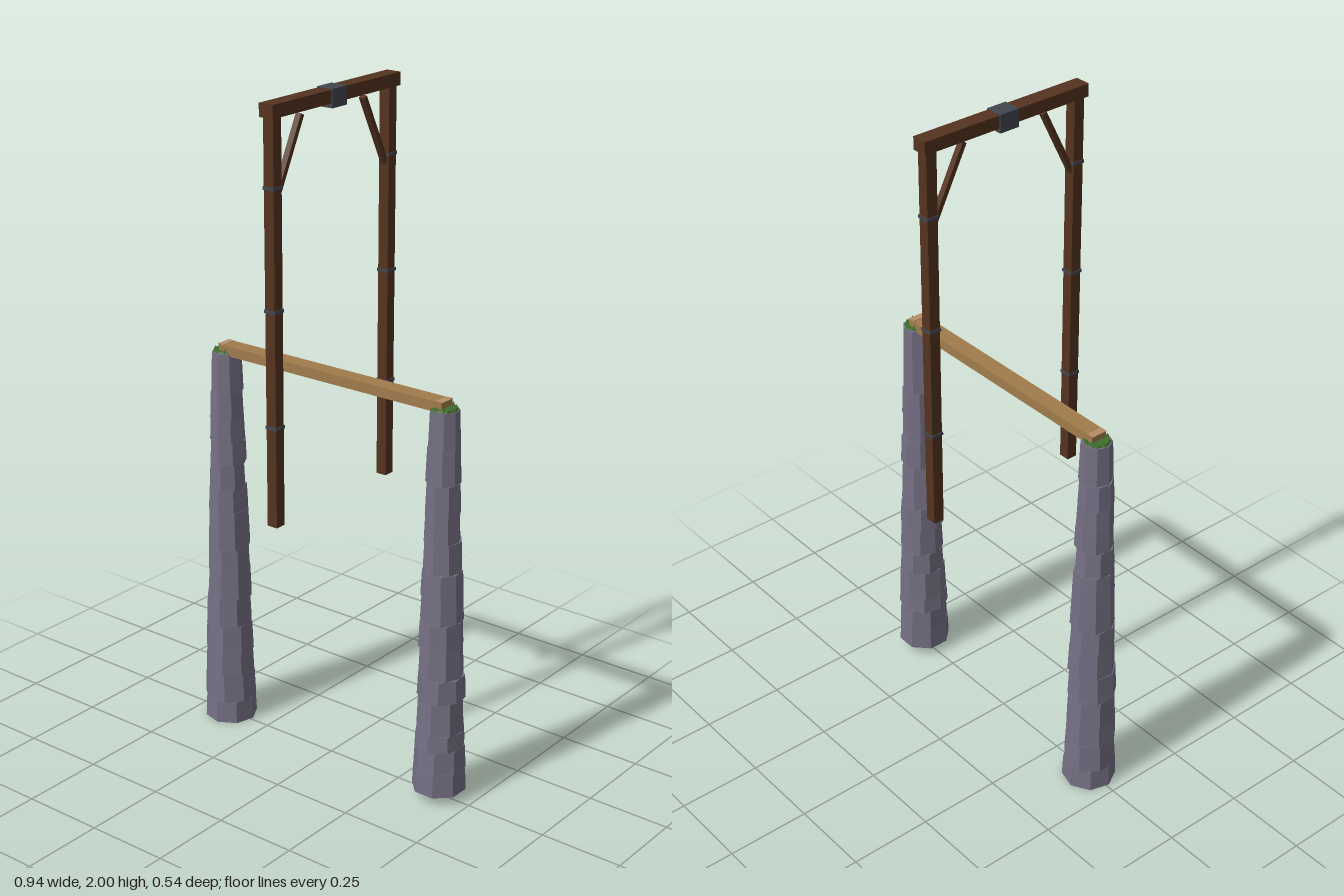
import * as THREE from 'three';

const mat = (name, color, flatShading = false) => {
  const m = new THREE.MeshStandardMaterial({ color, flatShading });
  m.name = name;
  return m;
};

export function createModel() {
  const root = new THREE.Group();
  root.name = 'beamAndGate';
  const stone = mat('stone', 0x757084, true);
  const moss = mat('moss', 0x3f6d2c, true);
  const plankWood = mat('plankWood', 0xa27c4c);
  const paleWood = mat('paleWood', 0xb58e68);
  const darkWood = mat('darkWood', 0x55331f);
  const iron = mat('iron', 0x43464f);

  let seed = 7;
  const rand = () => (seed = (seed * 16807) % 2147483647) / 2147483647;
  const jitter = (a) => (rand() * 2 - 1) * a;

  const add = (parent, name, geo, material, x, y, z) => {
    const m = new THREE.Mesh(geo, material);
    m.name = name;
    m.position.set(x, y, z);
    parent.add(m);
    return m;
  };
  const box = (parent, name, material, w, h, d, x, y, z) =>
    add(parent, name, new THREE.BoxGeometry(w, h, d), material, x, y, z);

  // Tapering pillars of stacked, slightly irregular eight-sided stone courses
  const radiusAt = (y) => THREE.MathUtils.lerp(0.08, 0.043, Math.min(1, y / 1.17));
  const pillar = (name, side, levels, scale) => {
    const g = new THREE.Group();
    g.name = name;
    for (let i = 0; i < levels.length - 1; i++) {
      const y0 = levels[i], y1 = levels[i + 1], mid = (y0 + y1) / 2;
      const k = scale * (1 + jitter(0.025));
      const geo = new THREE.CylinderGeometry(radiusAt(y1) * k, radiusAt(y0) * k * 1.015, y1 - y0, 8);
      const cx = side * (0.396 - 0.008 * mid / 1.18);
      const course = add(g, 'stoneCourse', geo, stone, cx + jitter(0.002), mid, jitter(0.002));
      course.rotation.y = 0.3 + jitter(0.3);
    }
    // Moss cap with small tufts around the rim
    const tx = side * 0.388;
    add(g, 'mossCap', new THREE.CylinderGeometry(0.036, 0.039, 0.008, 8), moss, tx, 1.182, 0);
    for (let i = 0; i < 8; i++) {
      const a = (i / 8) * Math.PI * 2 + 0.2;
      add(g, 'mossTuft', new THREE.ConeGeometry(0.007, 0.012 + rand() * 0.006, 4), moss,
        tx + Math.cos(a) * 0.032, 1.188, Math.sin(a) * 0.032);
    }
    root.add(g);
  };
  pillar('rightPillar', -1,
    [0, 0.07, 0.16, 0.23, 0.32, 0.41, 0.5, 0.57, 0.69, 0.76, 0.84, 0.91, 0.98, 1.06, 1.18], 1);
  pillar('leftPillar', 1,
    [0.03, 0.1, 0.17, 0.22, 0.32, 0.39, 0.48, 0.56, 0.63, 0.71, 0.8, 0.88, 0.97, 1.07, 1.18], 0.97);

  // Walkway of two planks with pale worn ends
  for (const s of [-1, 1]) {
    box(root, 'walkwayPlank', plankWood, 0.79, 0.03, 0.0245, 0, 1.19, s * 0.0125);
    box(root, 'wornEnd', paleWood, 0.022, 0.002, 0.048, s * 0.387, 1.2055, 0);
  }

  // Hanging timber gate across the walkway
  const gate = new THREE.Group();
  gate.name = 'timberGate';
  gate.position.x = 0.002;
  root.add(gate);
  box(gate, 'crossbeam', darkWood, 0.046, 0.037, 0.544, 0, 1.981, 0);
  box(gate, 'ironSaddle', iron, 0.053, 0.052, 0.062, 0, 1.976, 0);
  for (const s of [-1, 1]) {
    box(gate, 'post', darkWood, 0.033, 1.15, 0.033, 0, 1.395, s * 0.247);
    for (const y of [1.11, 1.44, 1.775])
      box(gate, 'ironBand', iron, 0.038, 0.009, 0.038, 0, y, s * 0.247);
    // Diagonal brace from post to crossbeam
    const brace = box(gate, 'brace', darkWood, 0.018, 0.225, 0.014, 0, 1.85, s * 0.184);
    brace.rotation.x = -s * Math.atan2(0.1, 0.2);
  }
  return root;
}
